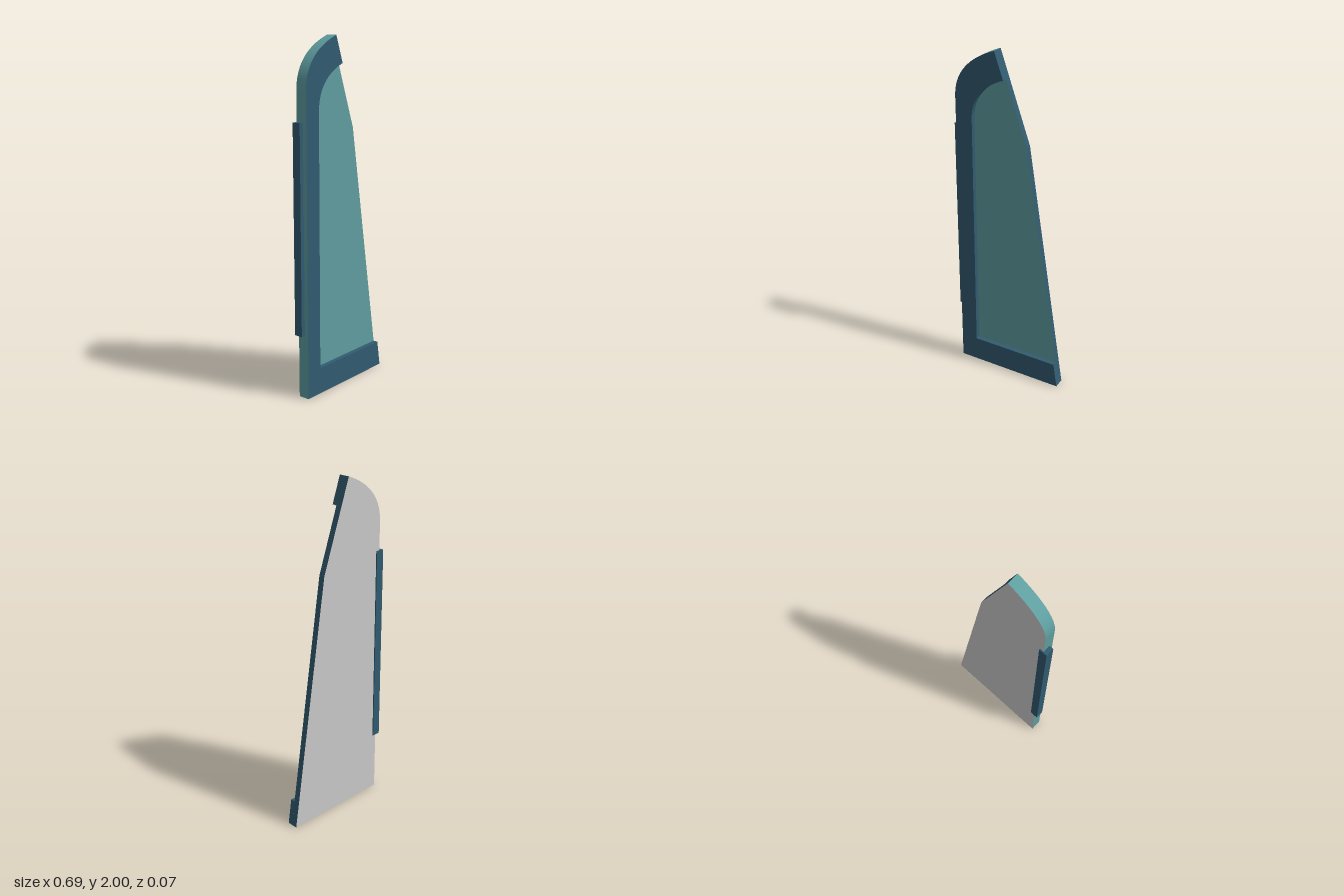
import * as THREE from 'three';

const BACK = -0.033, PANEL = 0.005, FRONT = 0.034;
const v = (x, y) => new THREE.Vector2(x, y);
const teal = new THREE.MeshStandardMaterial({ color: 0x5f9ea0 });
const blue = new THREE.MeshStandardMaterial({ color: 0x315b70 });
const grey = new THREE.MeshStandardMaterial({ color: 0xcccccc });

const arc = (a, c, b) => new THREE.QuadraticBezierCurve(a, c, b).getPoints(24);

function addMesh(parent, name, geometry, material) {
  const mesh = new THREE.Mesh(geometry, material);
  mesh.name = name;
  parent.add(mesh);
  return mesh;
}

// Flat sheet at depth z
const sheet = (points, z) => new THREE.ShapeGeometry(new THREE.Shape(points)).translate(0, 0, z);

// Wall along a path, facing to the right of its direction
function wall(points, z0, z1) {
  const pos = [], index = [];
  points.forEach((p, i) => {
    pos.push(p.x, p.y, z0, p.x, p.y, z1);
    if (i) {
      const a = 2 * i - 2;
      index.push(a, a + 2, a + 3, a, a + 3, a + 1);
    }
  });
  const g = new THREE.BufferGeometry();
  g.setAttribute('position', new THREE.Float32BufferAttribute(pos, 3));
  g.setIndex(index);
  g.computeVertexNormals();
  return g;
}

export function createModel() {
  const model = new THREE.Group();
  const door = new THREE.Group();
  door.name = 'door';
  door.rotation.y = 0.005;
  model.add(door);

  // Corners of the leaf, counter-clockwise, and of the recess
  const bottomLeft = v(-0.322, 0), bottomRight = v(0.342, 0);
  const bend = v(0.105, 1.49), peak = v(-0.075, 2);
  const recessRight = v(0.318, 0.152), recessLeft = v(-0.22, 0.152), recessTop = v(-0.022, 1.85);
  const outerArc = arc(peak, v(-0.322, 1.91), v(-0.322, 1.715));
  const innerArc = arc(v(-0.22, 1.6), v(-0.22, 1.775), recessTop);
  const outline = [bottomLeft, bottomRight, bend, ...outerArc];

  // Back face and recessed panel
  const backGeometry = sheet(outline.map(p => v(-p.x, p.y)), 0).rotateY(Math.PI).translate(0, 0, BACK);
  addMesh(door, 'backFace', backGeometry, grey);
  addMesh(door, 'panel', sheet([recessLeft, recessRight, bend, recessTop, ...innerArc.slice(0, -1).reverse()], PANEL), teal);

  // Raised frame and its inner walls
  addMesh(door, 'frame', sheet([bottomLeft, bottomRight, recessRight, recessLeft, ...innerArc, ...outerArc], FRONT), blue);
  addMesh(door, 'frameSill', wall([recessRight, recessLeft], PANEL, FRONT), blue);
  addMesh(door, 'frameInnerWall', wall([recessLeft, ...innerArc], PANEL, FRONT), blue);

  // Outer rim
  addMesh(door, 'curvedRim', wall([...outerArc, bottomLeft], BACK, FRONT), teal);
  addMesh(door, 'bottomRim', wall([bottomLeft, bottomRight], BACK, FRONT), teal);

  // Slanted edge: full leaf behind the panel, frame ends in front of it
  [[bottomRight, bend, PANEL, BACK], [bend, peak, PANEL, BACK],
    [bottomRight, recessRight, FRONT, PANEL], [recessTop, peak, FRONT, PANEL]]
    .forEach(([a, b, z1, z0], i) => addMesh(door, `slantedEdge${i + 1}`, wall([a, b], z0, z1), blue));

  // Hinge bar
  addMesh(model, 'hingeBar', new THREE.BoxGeometry(0.05, 1.18, 0.05), blue).position.set(-0.322, 0.96, -0.013);
  return model;
}
